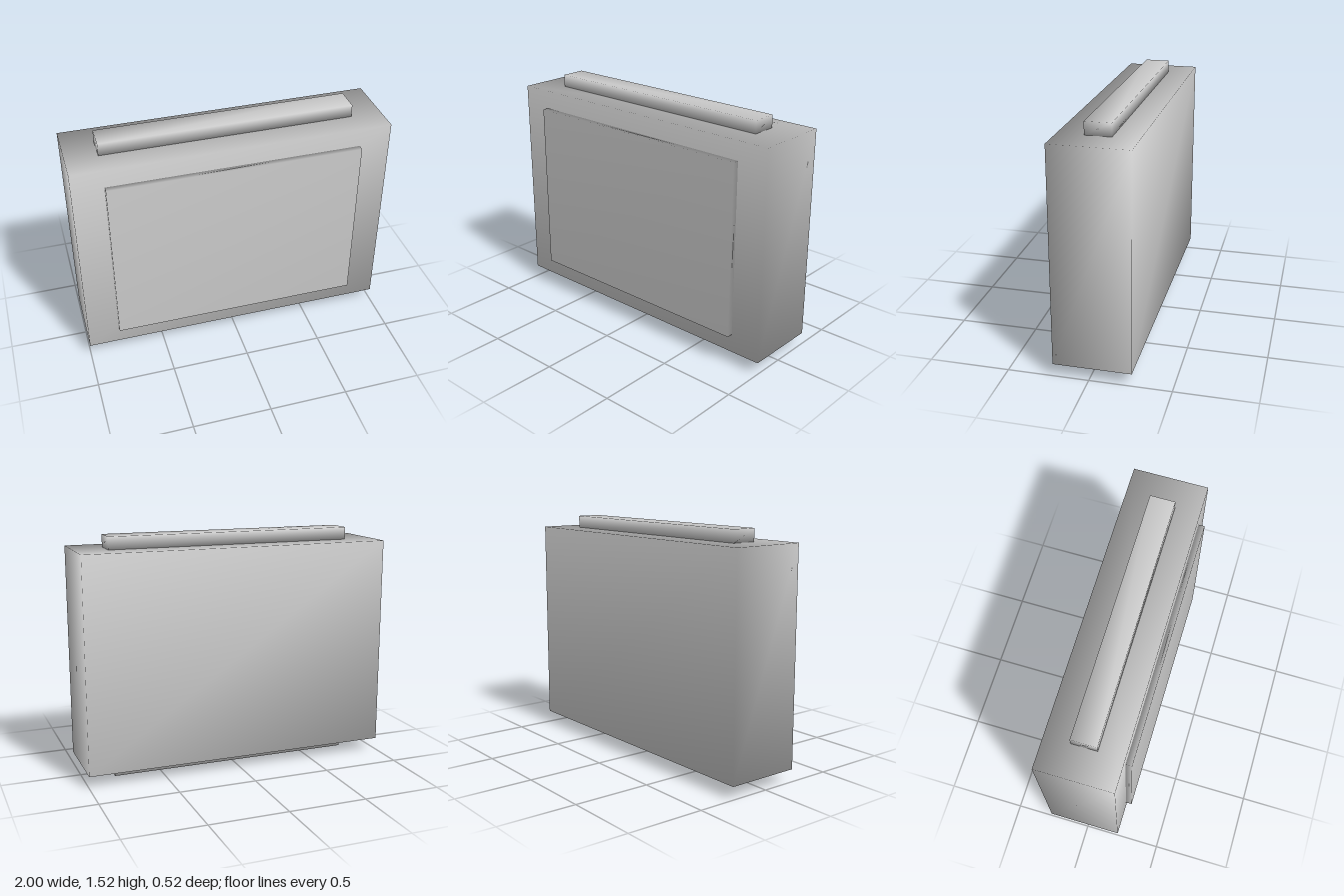
import * as THREE from 'three';
import { mergeVertices } from 'three/addons/utils/BufferGeometryUtils.js';

const material = new THREE.MeshStandardMaterial({ color: 0xcccccc });

// Box given by its limits on each axis, with normals smoothed across shared corners
function smoothBox(name, [x0, x1], [y0, y1], [z0, z1]) {
  const box = new THREE.BoxGeometry(x1 - x0, y1 - y0, z1 - z0);
  box.deleteAttribute('normal');
  box.deleteAttribute('uv');
  const geometry = mergeVertices(box);
  geometry.computeVertexNormals();
  const mesh = new THREE.Mesh(geometry, material);
  mesh.name = name;
  mesh.position.set((x0 + x1) / 2, (y0 + y1) / 2, (z0 + z1) / 2);
  return mesh;
}

export function createModel() {
  const group = new THREE.Group();
  group.name = 'case';

  // Main slab
  group.add(smoothBox('body', [-1, 1], [0.08, 1.44], [-0.26, 0.22]));

  // Raised panel on the front face
  group.add(smoothBox('frontPanel', [-0.8, 0.8], [0.2, 1.32], [0.22, 0.26]));

  // Matching rails along the top and bottom
  group.add(smoothBox('topRail', [-0.8, 0.8], [1.44, 1.52], [-0.1, 0.06]));
  group.add(smoothBox('bottomRail', [-0.8, 0.8], [0, 0.08], [-0.1, 0.06]));

  return group;
}
